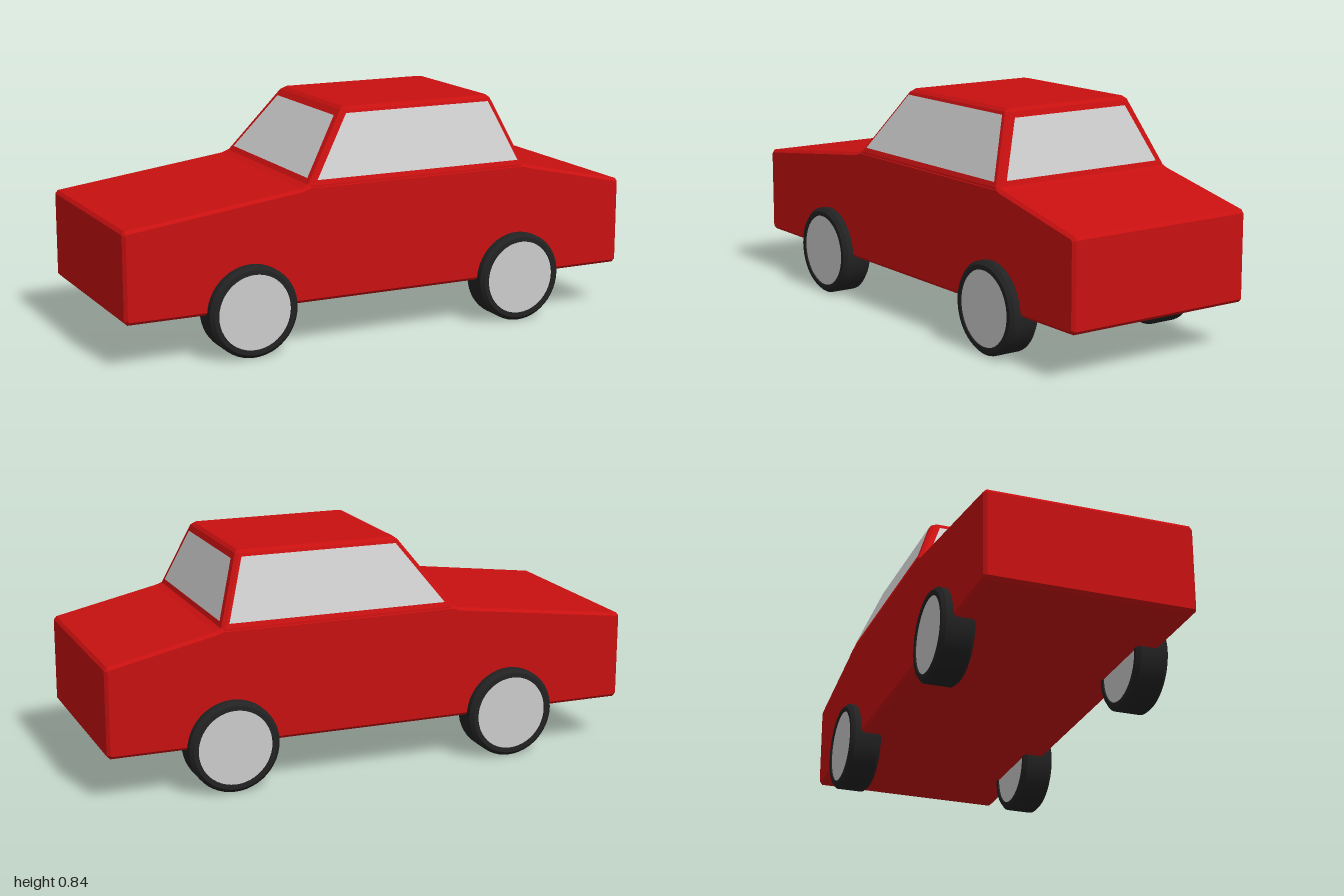
import * as THREE from 'three';
import { toCreasedNormals } from 'three/addons/utils/BufferGeometryUtils.js';

const paint = new THREE.MeshStandardMaterial({ color: 0xc81010 });
const rubber = new THREE.MeshStandardMaterial({ color: 0x222222 });
const grey = new THREE.MeshStandardMaterial({ color: 0xcccccc });
const glassMat = new THREE.MeshStandardMaterial({ color: 0xcccccc, side: THREE.DoubleSide });

function add(parent, name, geometry, material) {
  const mesh = new THREE.Mesh(geometry, material);
  mesh.name = name;
  parent.add(mesh);
  return mesh;
}

// Flat-shaded geometry from a list of corner loops (each a convex face)
function faces(loops) {
  const pos = [];
  for (const p of loops)
    for (let i = 1; i < p.length - 1; i++) pos.push(...p[0], ...p[i], ...p[i + 1]);
  const g = new THREE.BufferGeometry();
  g.setAttribute('position', new THREE.Float32BufferAttribute(pos, 3));
  g.computeVertexNormals();
  return g;
}

// Cabin extents at a given height
function cabinAt(y) {
  const t = (y - 0.585) / 0.245, mix = THREE.MathUtils.lerp;
  return { x0: mix(-0.31, -0.13, t), x1: mix(0.58, 0.49, t), hz: mix(0.376, 0.272, t) };
}

// Rectangular ring with cut corners, counter-clockwise from above
function ring(y, x0, x1, hz, c = 0.012) {
  return [
    [x1 - c, y, hz], [x1, y, hz - c], [x1, y, -hz + c], [x1 - c, y, -hz],
    [x0 + c, y, -hz], [x0, y, -hz + c], [x0, y, hz - c], [x0 + c, y, hz],
  ];
}

function bodyGeometry() {
  // Side profile with small corner cuts, extruded across the width
  const shape = new THREE.Shape([
    [-0.988, 0.167], [0.988, 0.167], [1, 0.179], [1, 0.485], [0.99, 0.497],
    [0.6, 0.583], [0.575, 0.592], [-0.305, 0.592], [-0.33, 0.582], [-0.99, 0.497], [-1, 0.485], [-1, 0.179],
  ].map(p => new THREE.Vector2(...p)));
  const b = 0.011, half = 0.377;
  const g = new THREE.ExtrudeGeometry(shape, {
    depth: 2 * (half - b), bevelEnabled: true, bevelSize: b, bevelOffset: -b, bevelThickness: b, bevelSegments: 1,
  });
  g.translate(0, 0, -(half - b));
  return g;
}

function cabinGeometry() {
  const a = cabinAt(0.59), t = cabinAt(0.83);
  const rings = [
    ring(0.565, -0.315, 0.585, 0.377),
    ring(0.59, a.x0, a.x1, a.hz),
    ring(0.83, t.x0, t.x1, t.hz),
    ring(0.841, t.x0 + 0.014, t.x1 - 0.011, t.hz - 0.014),
  ];
  const loops = [rings[3]];
  for (let r = 0; r < 3; r++)
    for (let i = 0; i < 8; i++) {
      const j = (i + 1) % 8;
      loops.push([rings[r][i], rings[r][j], rings[r + 1][j], rings[r + 1][i]]);
    }
  return faces(loops);
}

function addWindows(car) {
  const lift = 0.003;
  // Side windows
  const lo = cabinAt(0.607), hi = cabinAt(0.82);
  for (const s of [1, -1]) {
    const z0 = s * (lo.hz + lift), z1 = s * (hi.hz + lift);
    const p = [
      [lo.x0 + 0.022, 0.607, z0], [lo.x1 - 0.022, 0.607, z0],
      [hi.x1 - 0.022, 0.82, z1], [hi.x0 + 0.022, 0.82, z1],
    ];
    add(car, s > 0 ? 'sideWindowFront' : 'sideWindowBack', faces([s > 0 ? p : p.reverse()]), glassMat);
  }
  // Windscreen and rear window
  const low = cabinAt(0.61), top = cabinAt(0.81);
  for (const [name, key, s] of [['windscreen', 'x0', -1], ['rearWindow', 'x1', 1]]) {
    const xa = low[key] + s * lift, xb = top[key] + s * lift;
    const za = s * (low.hz - 0.032), zb = s * (top.hz - 0.035);
    add(car, name, faces([[[xa, 0.61, za], [xa, 0.61, -za], [xb, 0.81, -zb], [xb, 0.81, zb]]]), glassMat);
  }
}

function createWheel() {
  const wheel = new THREE.Group();
  const w = 0.06, r = 0.167, inner = 0.137, c = 0.013;
  // Tyre: closed ring section turned about the axle
  const section = [
    [inner, -w], [r - c, -w], [r, -w + c], [r, w - c], [r - c, w], [inner, w], [inner, -w],
  ].map(p => new THREE.Vector2(...p));
  const tyre = toCreasedNormals(new THREE.LatheGeometry(section, 48), 0.5);
  add(wheel, 'tyre', tyre.rotateX(Math.PI / 2), rubber);
  // Hub disc, set just inside the tyre walls
  add(wheel, 'hub', new THREE.CylinderGeometry(inner, inner, 2 * w - 0.01, 48).rotateX(Math.PI / 2), grey);
  return wheel;
}

export function createModel() {
  const car = new THREE.Group();
  car.name = 'car';
  add(car, 'body', bodyGeometry(), paint);
  add(car, 'cabin', cabinGeometry(), paint);
  addWindows(car);
  for (const [x, end] of [[-0.533, 'front'], [0.547, 'rear']])
    for (const s of [1, -1]) {
      const wheel = createWheel();
      wheel.name = end + (s > 0 ? 'WheelNear' : 'WheelFar');
      wheel.position.set(x, 0.167, s * 0.354);
      car.add(wheel);
    }
  return car;
}
